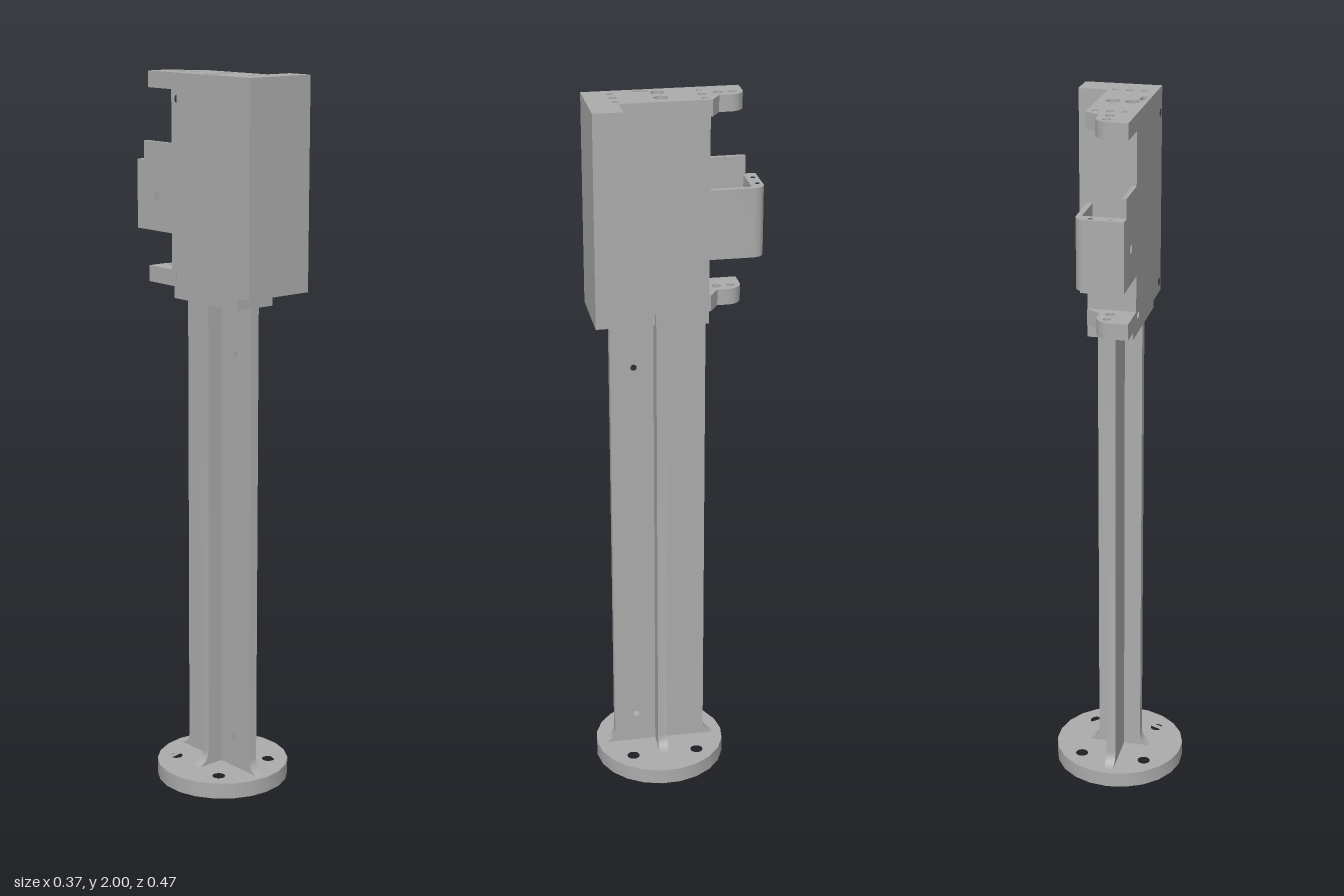
import * as THREE from 'three';
import { toCreasedNormals } from 'three/addons/utils/BufferGeometryUtils.js';

const steel = new THREE.MeshStandardMaterial({ color: 0xacacac });
steel.name = 'machined steel';

// Points on an arc; angles in degrees
function arc(cx, cy, r, a0, a1, n = 6) {
  return Array.from({ length: n + 1 }, (_, i) => {
    const a = THREE.MathUtils.degToRad(a0 + ((a1 - a0) * i) / n);
    return [cx + r * Math.cos(a), cy + r * Math.sin(a)];
  });
}
const circle = (cx, cy, r, n = 16) => arc(cx, cy, r, 0, 360, n).slice(0, n);
const rect = (a0, b0, a1, b1) => [[a0, b0], [a1, b0], [a1, b1], [a0, b1]];

// Prism along an axis. Outline points: y -> [x, z], x -> [z, y]
function prism(name, axis, from, to, outline, holes = []) {
  const map = ([a, b]) => axis === 'y' ? new THREE.Vector2(a, -b) : new THREE.Vector2(-a, b);
  const shape = new THREE.Shape(outline.map(map));
  shape.holes = holes.map((h) => new THREE.Path(h.map(map)));
  let g = new THREE.ExtrudeGeometry(shape, { depth: to - from, bevelEnabled: false });
  if (axis === 'y') g.rotateX(-Math.PI / 2).translate(0, from, 0);
  else g.rotateY(Math.PI / 2).translate(from, 0, 0);
  g = toCreasedNormals(g, 0.5);
  const mesh = new THREE.Mesh(g, steel);
  mesh.name = name;
  return mesh;
}

function box(name, x0, x1, y0, y1, z0, z1) {
  const mesh = new THREE.Mesh(new THREE.BoxGeometry(x1 - x0, y1 - y0, z1 - z0), steel);
  mesh.position.set((x0 + x1) / 2, (y0 + y1) / 2, (z0 + z1) / 2);
  mesh.name = name;
  return mesh;
}

// Side profile of a column rib with flared feet
function ribProfile(a0, a1) {
  const r = 0.04, foot = 0.044;
  return [
    ...arc(a1 + r, foot + r, r, 270, 180), [a1, 1.39],
    [a0, 1.39], ...arc(a0 - r, foot + r, r, 0, -90),
  ];
}

function createModel() {
  const model = new THREE.Group();
  model.name = 'pedestalMount';
  const CZ = 0.046;

  // Round foot with bolt holes and a recessed underside
  const foot = new THREE.Group();
  foot.name = 'foot';
  const disc = arc(0, CZ, 0.188, 7, 367, 22).slice(0, 22);
  const inner = arc(0, CZ, 0.172, 7, 367, 22).slice(0, 22);
  const bolts = [];
  for (const x of [-0.094, 0.094]) for (const z of [-0.05, 0.139]) bolts.push(circle(x, z, 0.018, 20));
  foot.add(prism('footPlate', 'y', 0.006, 0.045, disc, bolts));
  foot.add(prism('footRim', 'y', 0, 0.006, disc, [inner]));
  model.add(foot);

  // Cross-section column
  const column = new THREE.Group();
  column.name = 'column';
  column.add(prism('longRib', 'x', -0.016, 0.011, ribProfile(-0.085, 0.18),
    [circle(0.115, 1.25, 0.009), circle(0.115, 0.135, 0.009)]));
  const crossRib = prism('crossRib', 'x', -0.0135, 0.0135, ribProfile(-0.0625, 0.0625));
  crossRib.rotation.y = Math.PI / 2;
  crossRib.position.set(-0.0025, 0, CZ);
  column.add(crossRib);
  column.add(box('neckBack', -0.065, 0.06, 1.385, 1.425, -0.085, 0.06));
  column.add(box('neckFront', -0.065, 0.06, 1.385, 1.425, 0.1, 0.18));
  column.add(box('neckBridge', -0.065, 0.045, 1.385, 1.425, 0.06, 0.1));
  model.add(column);

  // Head core and front plate
  const head = new THREE.Group();
  head.name = 'head';
  head.add(box('headCore', -0.055, 0.042, 1.42, 1.955, -0.085, 0.157));
  head.add(box('frontPlate', -0.055, 0.122, 1.42, 1.955, 0.157, 0.235));

  // Top cap with the upper lug in one outline
  const lugEdge = [[0.06, -0.09], [0.02, -0.115], ...arc(-0.02, -0.145, 0.04, 0, -90), [-0.073, -0.185]];
  const lugHole = circle(-0.01, -0.157, 0.011);
  const capHoles = [lugHole, circle(-0.01, -0.118, 0.013)];
  for (const z of [-0.073, 0.161]) {
    capHoles.push(circle(-0.04, z, 0.009), circle(0, z, 0.011), circle(0.04, z, 0.009));
  }
  for (const x of [-0.035, 0.018]) {
    capHoles.push(circle(x, 0.038, 0.019));
    head.add(prism('topCounterbore', 'y', 1.955, 1.985, circle(x, 0.038, 0.0192), [circle(x, 0.038, 0.008)]));
  }
  capHoles.push([...arc(-0.055, 0.066, 0.008, 180, 360), ...arc(-0.055, 0.093, 0.008, 0, 180)]);
  head.add(prism('topCap', 'y', 1.955, 2,
    [[-0.073, 0.235], [0.14, 0.235], [0.14, 0.155], [0.06, 0.155], ...lugEdge], capHoles));
  head.add(prism('lowerLug', 'y', 1.42, 1.465, [[-0.073, -0.085], [0.06, -0.085], ...lugEdge], capHoles.slice(0, 2)));

  // Side skins with rows of screw holes
  const rows = [1.92, 1.85, 1.785, 1.635, 1.57, 1.5];
  const sideHoles = rows.flatMap((y) => [circle(0.145, y, 0.009), circle(0.09, y, 0.009)]);
  head.add(prism('bodySide', 'x', 0.042, 0.06, rect(-0.085, 1.42, 0.157, 1.955), sideHoles));
  const plateHoles = rows.map((y, i) => circle(0.196, y, i % 3 === 1 ? 0.01 : 0.019));
  head.add(prism('plateSide', 'x', 0.122, 0.14, rect(0.157, 1.42, 0.235, 1.955), plateHoles));
  rows.forEach((y, i) => {
    if (i % 3 !== 1) {
      head.add(prism('sideCounterbore', 'x', 0.122, 0.132, circle(0.196, y, 0.0192), [circle(0.196, y, 0.01)]));
    }
  });
  const cornerHoles = [];
  for (const z of [-0.06, 0.215]) for (const y of [1.45, 1.93]) cornerHoles.push(circle(z, y, 0.012));
  head.add(prism('flatSide', 'x', -0.073, -0.055, rect(-0.085, 1.42, 0.235, 1.955), cornerHoles));
  model.add(head);

  // Rear pocket: floor, curved wall and taller side plate
  const pocket = new THREE.Group();
  pocket.name = 'rearPocket';
  const outer = [[-0.073, -0.235], ...arc(0.03, -0.205, 0.03, -90, 0), [0.06, -0.085]];
  pocket.add(prism('pocketFloor', 'y', 1.565, 1.58, [...outer, [-0.073, -0.085]], [lugHole]));
  pocket.add(prism('pocketWall', 'y', 1.58, 1.757,
    [...outer, [0.045, -0.085], [0.045, -0.2], [-0.073, -0.2]],
    [circle(-0.035, -0.22, 0.007), circle(0.018, -0.22, 0.007)]));
  pocket.add(prism('pocketSidePlate', 'x', -0.073, -0.061, rect(-0.205, 1.58, -0.085, 1.81),
    [circle(-0.15, 1.66, 0.012)]));
  model.add(pocket);

  return model;
}

export { createModel };
